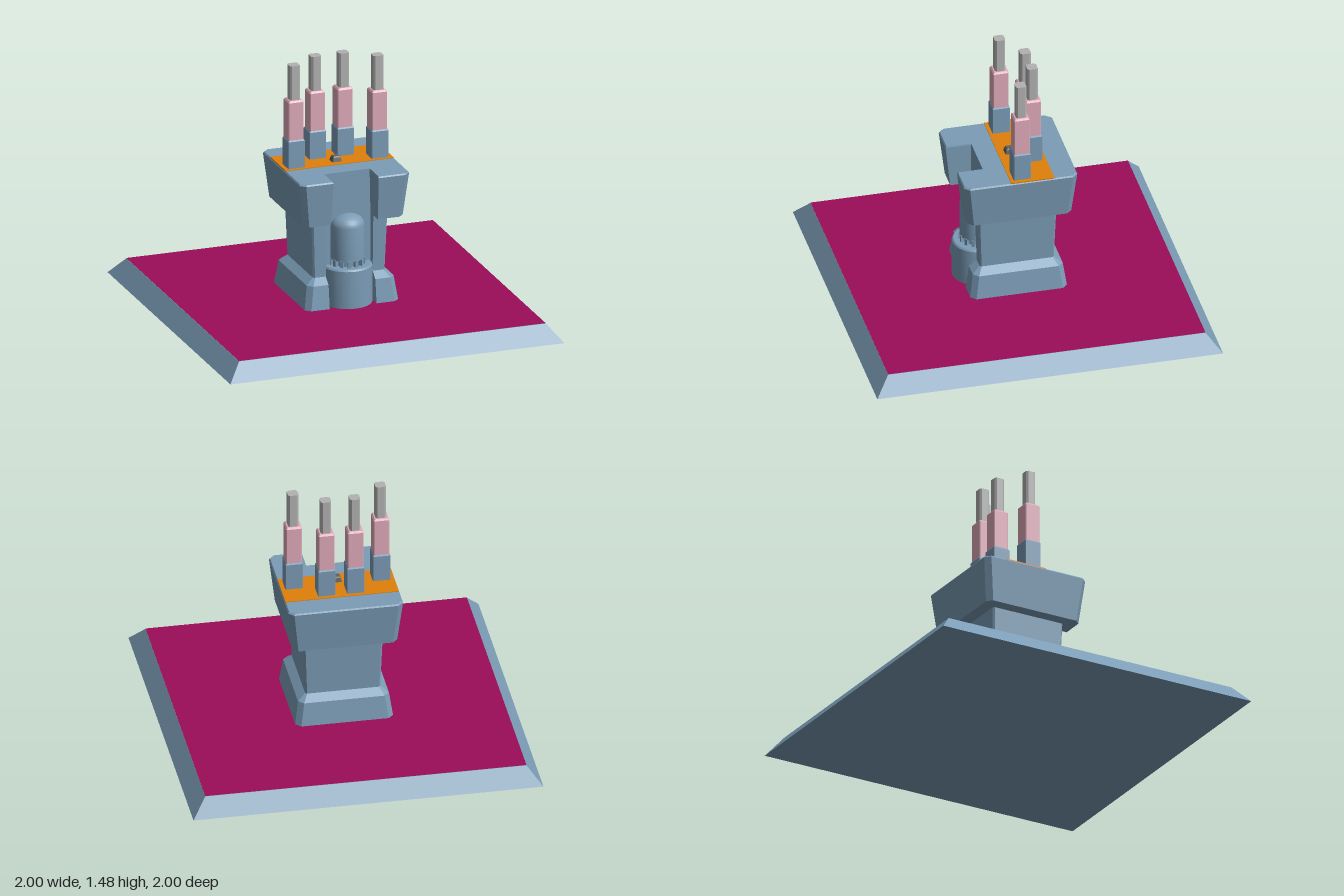
import * as THREE from 'three';
import { toCreasedNormals } from 'three/addons/utils/BufferGeometryUtils.js';

const paint = (color, flat = true) => new THREE.MeshStandardMaterial({ color, flatShading: flat });
const blue = paint(0x7b9cb6), magenta = paint(0x9c0d59), orange = paint(0xe0800c);
const pink = paint(0xdfabba), grey = paint(0xb2b2b2), dark = paint(0x626262);
const smoothBlue = paint(0x7b9cb6, false);

// Square outline with cut corners, as [x, z]; a notch is cut into the +z side if given
function outline(h, c, notch, notchBack) {
  const pts = [[h, h - c], [h, c - h], [h - c, -h], [c - h, -h], [-h, c - h], [-h, h - c], [c - h, h]];
  if (notch) pts.push([-notch, h], [-notch, notchBack], [notch, notchBack], [notch, h]);
  pts.push([h - c, h]);
  return pts;
}

// Skin matching outlines stacked upwards and close both ends
function loft(levels) {
  const pos = [], index = [], n = levels[0].pts.length;
  for (const { y, pts } of levels) for (const [x, z] of pts) pos.push(x, y, z);
  for (let k = 0; k < levels.length - 1; k++) {
    for (let i = 0; i < n; i++) {
      const a = k * n + i, b = k * n + (i + 1) % n;
      index.push(a, b, b + n, a, b + n, a + n);
    }
  }
  const caps = [[0, -1], [levels.length - 1, 1]];
  for (const [k, side] of caps) {
    const flat = levels[k].pts.map(([x, z]) => new THREE.Vector2(x, -z));
    for (const [a, b, c] of THREE.ShapeUtils.triangulateShape(flat, [])) {
      const area = (flat[b].x - flat[a].x) * (flat[c].y - flat[a].y) - (flat[b].y - flat[a].y) * (flat[c].x - flat[a].x);
      const o = k * n;
      if (area * side > 0) index.push(o + a, o + b, o + c);
      else index.push(o + a, o + c, o + b);
    }
  }
  const g = new THREE.BufferGeometry();
  g.setAttribute('position', new THREE.Float32BufferAttribute(pos, 3));
  g.setIndex(index);
  const flatG = g.toNonIndexed();
  flatG.computeVertexNormals();
  return flatG;
}

// Block from [y, half width, corner cut] rows
const block = rows => loft(rows.map(([y, h, c]) => ({ y, pts: outline(h, c) })));

function lathe(profile) {
  const pts = profile.map(([r, y]) => new THREE.Vector2(r, y));
  return toCreasedNormals(new THREE.LatheGeometry(pts, 32), 0.6);
}

function add(parent, name, geometry, material, x = 0, y = 0, z = 0) {
  const m = new THREE.Mesh(geometry, material);
  m.name = name;
  m.position.set(x, y, z);
  parent.add(m);
  return m;
}

export function createModel() {
  const model = new THREE.Group();
  model.name = 'tower';

  // Sloped ground slab with coloured top
  const slab = new THREE.CylinderGeometry(0.918 * Math.SQRT2, Math.SQRT2, 0.1, 4);
  slab.rotateY(Math.PI / 4);
  add(model, 'groundSlab', slab, blue, 0, 0.05, 0);
  add(model, 'groundTop', new THREE.PlaneGeometry(1.836, 1.836).rotateX(-Math.PI / 2), magenta, 0, 0.102, 0);

  // Tower: skirt, shaft and overhanging crown, with a slot down the front
  const rows = [
    [0.1, 0.28, 0.03, 0.14], [0.24, 0.26, 0.03, 0.14], [0.275, 0.215, 0.01, 0.14],
    [0.61, 0.227, 0.01, 0.14], [0.61, 0.3, 0.03, 0.14], [0.865, 0.328, 0.03, 0.135], [0.873, 0.322, 0.03, 0.137],
  ];
  add(model, 'towerBody', loft(rows.map(([y, h, c, n]) => ({ y, pts: outline(h, c, n, 0.18) }))), blue);
  add(model, 'deckStripe', new THREE.BoxGeometry(0.648, 0.015, 0.25), orange, 0, 0.869, -0.065);

  // Rounded tank on a drum, set into the slot
  const tank = new THREE.Group();
  tank.name = 'tank';
  tank.position.z = 0.18;
  model.add(tank);
  add(tank, 'drum', lathe([[0.142, 0.1], [0.142, 0.322], [0.134, 0.331], [0, 0.331]]), smoothBlue);
  const dome = [[0, 0.33], [0.08, 0.33], [0.08, 0.365], [0.098, 0.365]];
  for (let i = 0; i <= 8; i++) {
    const a = i / 8 * Math.PI / 2;
    dome.push([0.098 * Math.cos(a), 0.56 + 0.066 * Math.sin(a)]);
  }
  add(tank, 'capsule', lathe(dome), smoothBlue);
  for (let i = 0; i < 14; i++) {
    const a = (i + 0.5) / 14 * Math.PI * 2;
    const foot = add(tank, 'capsuleFoot', new THREE.BoxGeometry(0.018, 0.042, 0.026), blue,
      0.09 * Math.sin(a), 0.349, 0.09 * Math.cos(a));
    foot.rotation.y = a;
  }

  // Four stepped masts
  const socket = block([[0.87, 0.05, 0.003], [1.035, 0.05, 0.003], [1.043, 0.045, 0.003]]);
  const sleeve = block([[1.04, 0.045, 0.004], [1.265, 0.045, 0.004], [1.275, 0.037, 0.004]]);
  const rod = block([[1.27, 0.03, 0.01], [1.478, 0.03, 0.01]]);
  for (const [x, z] of [[0.25, -0.01], [0.083, -0.117]]) {
    for (const s of [1, -1]) {
      const mast = new THREE.Group();
      mast.name = 'mast';
      mast.position.set(s * x, 0, z);
      add(mast, 'mastSocket', socket, blue);
      add(mast, 'mastSleeve', sleeve, pink);
      add(mast, 'mastRod', rod, grey);
      model.add(mast);
    }
  }

  // Small knob in the middle of the deck
  add(model, 'knob', block([[0.87, 0.03, 0.003], [0.9, 0.022, 0.003], [0.907, 0.017, 0.003]]), dark, 0, 0, -0.007);
  return model;
}
